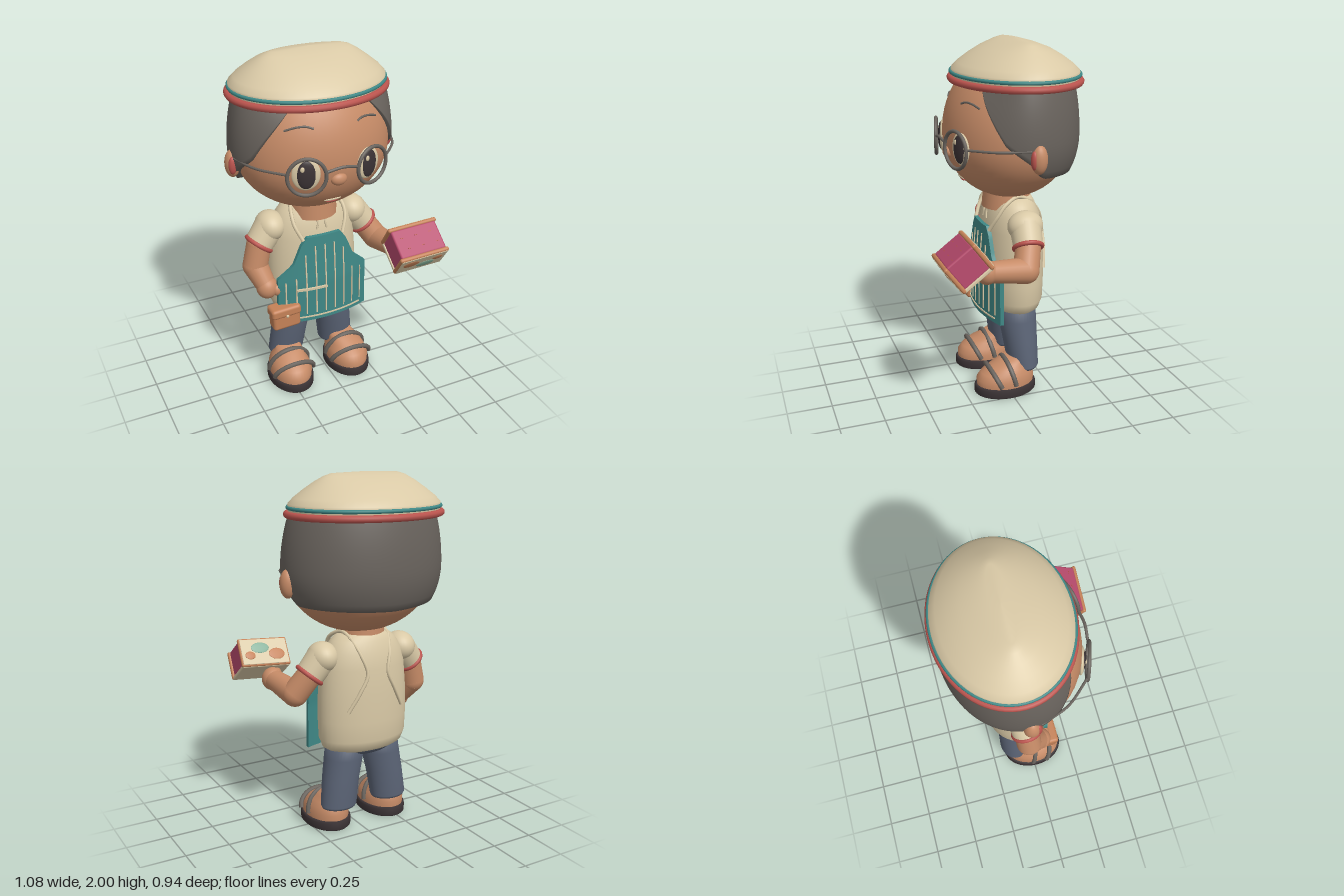
import * as THREE from 'three';
import { RoundedBoxGeometry } from 'three/addons/geometries/RoundedBoxGeometry.js';

const mat = (name, color, side = THREE.FrontSide) =>
  Object.assign(new THREE.MeshStandardMaterial({ color, side }), { name });
const V = (a) => new THREE.Vector3(...a);

// Indexed grid surface; point(i, j) gives row i (upwards), column j (front to left)
function grid(rows, cols, wrap, point) {
  const pos = [], idx = [], n = wrap ? cols : cols + 1;
  for (let i = 0; i <= rows; i++) for (let j = 0; j < n; j++) pos.push(...point(i, j));
  for (let i = 0; i < rows; i++) for (let j = 0; j < cols; j++) {
    const a = i * n + j, b = i * n + (j + 1) % n;
    idx.push(a, b, b + n, a, b + n, a + n);
  }
  const g = new THREE.BufferGeometry();
  g.setAttribute('position', new THREE.Float32BufferAttribute(pos, 3));
  g.setIndex(idx);
  g.computeVertexNormals();
  return g;
}
// Elliptic cross-sections [y, rx, rz, cx, cz]; a repeated section makes a crease
const loft = (rings, seg = 40) => grid(rings.length - 1, seg, true, (i, j) => {
  const [y, rx, rz, cx = 0, cz = 0] = rings[i], a = j / seg * Math.PI * 2;
  return [cx + Math.sin(a) * rx, y, cz + Math.cos(a) * rz];
});
const lerpTable = (table, x) => {
  if (x <= table[0][0]) return table[0][1];
  for (let i = 1; i < table.length; i++) {
    const [x0, y0] = table[i - 1], [x1, y1] = table[i];
    if (x <= x1) return y0 + (y1 - y0) * (x - x0) / (x1 - x0);
  }
  return table[table.length - 1][1];
};
const round = (y, mid, low, up) => Math.sqrt(Math.max(0, 1 - ((y - mid) / (y < mid ? low : up)) ** 2));
const headR = (y) => round(y, 1.48, 0.345, 0.45);
const faceZ = (x, y) => -0.06 + 0.35 * Math.sqrt(Math.max(0, headR(y) ** 2 - (x / 0.43) ** 2));
const apronZ = (x, y) => 0.12 - 0.7 * x * x - 0.08 * Math.max(0, y - 0.7);

export function createModel() {
  const skin = mat('skin', 0xc68b67), gray = mat('hair gray', 0x69635d, THREE.DoubleSide);
  const cream = mat('cream', 0xd9c9a6), teal = mat('teal', 0x3f8886), red = mat('red', 0xbb544e);
  const denim = mat('denim', 0x5b6476), dark = mat('dark', 0x3b3335), pink = mat('pink', 0xb64a6c);
  const tan = mat('tan leather', 0xc48157), mint = mat('mint', 0x88b29b);

  const root = new THREE.Group(), body = new THREE.Group();
  root.name = 'cookFigure';
  body.name = 'body';
  body.position.x = -0.05;
  root.add(body);
  const add = (name, geo, m, p = [0, 0, 0], parent = body) => {
    const mesh = new THREE.Mesh(geo, m);
    mesh.name = name;
    mesh.position.set(...p);
    parent.add(mesh);
    return mesh;
  };
  const ball = (name, m, p, r, parent) => {
    const b = add(name, new THREE.SphereGeometry(1, 28, 20), m, p, parent);
    b.scale.set(...r);
    return b;
  };
  const tube = (name, m, pts, r, parent) => add(name,
    new THREE.TubeGeometry(new THREE.CatmullRomCurve3(pts.map(V)), 28, r, 8), m, [0, 0, 0], parent);
  const limb = (name, m, a, b, ra, rb) => {
    const d = V(b).sub(V(a));
    const c = add(name, new THREE.CylinderGeometry(rb, ra, d.length(), 24), m,
      V(a).addScaledVector(d, 0.5).toArray());
    c.quaternion.setFromUnitVectors(new THREE.Vector3(0, 1, 0), d.normalize());
    ball(name + 'Start', m, a, [ra, ra, ra]);
    ball(name + 'End', m, b, [rb, rb, rb]);
  };

  // Head and neck
  add('head', loft(Array.from({ length: 33 }, (_, i) => {
    const a = i / 32 * Math.PI, y = 1.48 - Math.cos(a) * (a < Math.PI / 2 ? 0.345 : 0.45);
    return [y, 0.43 * headR(y), 0.35 * headR(y), 0, -0.06];
  }), 48), skin);
  add('neck', new THREE.CylinderGeometry(0.13, 0.14, 0.12, 32), skin, [0, 1.13, -0.06]);

  // Hair shell, thinning towards the temples
  const hairline = [[40, 1.765], [53, 1.63], [65, 1.5], [85, 1.4], [97, 1.32], [180, 1.3]];
  add('hair', grid(14, 80, false, (i, j) => {
    const deg = 40 + j / 80 * 280, side = Math.min(deg, 360 - deg);
    const y0 = lerpTable(hairline, side), y = y0 + (1.8 - y0) * Math.max(0, i - 1) / 13;
    const t = THREE.MathUtils.smoothstep(side, 35, 85), h = round(y, 1.5, 0.42, 0.7), k = headR(y);
    const rx = i ? THREE.MathUtils.lerp(0.437 * k, 0.46 * h, t) : 0.42 * k;
    const rz = i ? THREE.MathUtils.lerp(0.357 * k, 0.375 * h, t) : 0.34 * k;
    const a = deg * Math.PI / 180;
    return [Math.sin(a) * rx, y, -0.06 - 0.012 * t + Math.cos(a) * rz];
  }), gray);

  // Flat cap with two bands
  add('cap', loft([[1.772, 0, 0], [1.772, 0.42, 0.33], [1.772, 0.42, 0.33], [1.82, 0.43, 0.342],
    [1.84, 0.428, 0.336], [1.87, 0.4, 0.305], [1.91, 0.35, 0.25], [1.95, 0.295, 0.18],
    [1.98, 0.245, 0.1], [1.993, 0.205, 0.05], [2, 0, 0]]
    .map(([y, x, z]) => [y, x, z, 0, -0.106]), 56), cream);
  for (const [name, m, y, rx, rz, r] of [['capBrim', red, 1.785, 0.433, 0.342, 0.019],
    ['capBand', teal, 1.82, 0.428, 0.341, 0.01]]) {
    const ring = Array.from({ length: 40 }, (_, i) => {
      const a = i / 40 * Math.PI * 2;
      return new THREE.Vector3(Math.sin(a) * rx, y, -0.106 + Math.cos(a) * rz);
    });
    add(name, new THREE.TubeGeometry(new THREE.CatmullRomCurve3(ring, true), 80, r, 10, true), m);
  }

  // Face
  ball('nose', skin, [0, 1.405, 0.277], [0.045, 0.035, 0.03]);
  const mouthZ = faceZ(0, 1.255);
  ball('teeth', cream, [0, 1.257, mouthZ], [0.05, 0.008, 0.008]);
  ball('lip', red, [0, 1.245, mouthZ - 0.008], [0.035, 0.008, 0.01]);
  tube('glassesBridge', gray, [[-0.085, 1.475, 0.317], [0, 1.49, 0.325], [0.085, 1.475, 0.317]], 0.008);

  for (const s of [-1, 1]) {
    const eye = new THREE.Group();
    eye.name = s > 0 ? 'leftEye' : 'rightEye';
    eye.position.set(s * 0.175, 1.455, 0.258);
    eye.rotation.y = s * 0.3;
    body.add(eye);
    ball('eyeWhite', cream, [0, 0, 0], [0.075, 0.088, 0.018], eye);
    ball('pupil', dark, [0, 0, 0.009], [0.05, 0.077, 0.016], eye);
    ball('eyeGlint', cream, [-0.02, 0.035, 0.02], [0.012, 0.015, 0.006], eye);
    add('glassesRim', new THREE.TorusGeometry(0.1, 0.01, 10, 40), gray, [0, 0, 0.035], eye);
    tube('glassesTemple', gray, [[s * 0.28, 1.472, 0.258], [s * 0.395, 1.475, 0.125], [s * 0.455, 1.48, -0.03]], 0.007);
    tube('eyebrow', gray, [[0.12, 1.685], [0.155, 1.696], [0.2, 1.693], [0.257, 1.675]]
      .map(([x, y]) => [s * x, y, faceZ(x, y)]), 0.006);
    ball('ear', skin, [s * 0.45, 1.435, -0.075], [0.042, 0.078, 0.044]);
    ball('innerEar', red, [s * 0.46, 1.435, -0.043], [0.022, 0.05, 0.018]);
  }

  // Shirt
  add('shirt', loft([[0.46, 0, 0], [0.465, 0.21, 0.12], [0.49, 0.245, 0.155], [0.54, 0.265, 0.172],
    [0.65, 0.27, 0.176], [0.8, 0.268, 0.174], [0.95, 0.255, 0.166], [1.04, 0.235, 0.15],
    [1.1, 0.19, 0.125], [1.13, 0.15, 0.11], [1.14, 0.1, 0.09], [1.14, 0, 0]]
    .map(([y, x, z]) => [y, x, z, 0, -0.085])), cream);
  for (const s of [-1, 1]) {
    tube('collar', cream, [[s * 0.05, 1.09, 0.035], [s * 0.022, 1.055, 0.063], [s * 0.03, 1.01, 0.07]], 0.006);
    tube('apronStrapFront', cream, [[s * 0.12, 0.965, 0.085], [s * 0.155, 1.05, 0.045],
      [s * 0.155, 1.11, 0], [s * 0.13, 1.145, -0.08], [s * 0.12, 1.12, -0.16]], 0.011);
    tube('apronStrapBack', cream, [[s * 0.12, 1.12, -0.16], [s * 0.09, 1.03, -0.225],
      [s * 0.065, 0.93, -0.252], [s * 0.11, 0.83, -0.248], [s * 0.17, 0.72, -0.224]], 0.01);
  }

  // Apron panel, bent around the belly, with stripes, hem and pocket edge
  const halfWidth = [[0.45, 0.275], [0.74, 0.272], [0.76, 0.25], [0.82, 0.185], [0.94, 0.135], [0.985, 0.1]];
  const bent = (name, m, x, y, w, h, depth, lift, shape) => {
    const g = new THREE.BoxGeometry(w, h, depth, 16, 24, 1).translate(x, y, lift), p = g.attributes.position;
    for (let i = 0; i < p.count; i++) {
      const px = p.getX(i) * (shape ? lerpTable(halfWidth, p.getY(i)) : 1);
      p.setX(i, px).setZ(i, p.getZ(i) + apronZ(px, p.getY(i)));
    }
    g.computeVertexNormals();
    return add(name, g, m);
  };
  bent('apron', teal, 0, 0.7175, 2, 0.535, 0.022, -0.005, true);
  for (let i = -4; i <= 4; i++) {
    const top = [0.93, 0.93, 0.88, 0.74, 0.72][Math.abs(i)];
    bent('apronStripe', cream, i * 0.058, (top + 0.5) / 2, 0.007, top - 0.5, 0.008, 0.007);
  }
  bent('apronHem', cream, 0, 0.478, 0.46, 0.008, 0.008, 0.007);
  bent('apronPocketEdge', cream, -0.085, 0.667, 0.18, 0.013, 0.014, 0.01);

  // Belt pouch
  const pouch = new THREE.Group();
  pouch.name = 'pouch';
  pouch.position.set(-0.243, 0.508, 0.085);
  pouch.rotation.z = 0.05;
  body.add(pouch);
  add('pouchBag', new RoundedBoxGeometry(0.165, 0.135, 0.085, 3, 0.018), tan, [0, 0, 0], pouch);
  add('pouchFlap', new RoundedBoxGeometry(0.178, 0.06, 0.098, 3, 0.018), tan, [0, 0.042, 0], pouch);
  ball('pouchButton', cream, [0, 0.022, 0.05], [0.009, 0.009, 0.006], pouch);

  // Arms: the left one reaches forward, the right one hangs
  for (const [side, s, elbow, hand, thumb] of [
    ['left', 1, [0.395, 0.815, -0.03], [0.42, 0.845, 0.2], [0.375, 0.86, 0.235]],
    ['right', -1, [-0.355, 0.79, -0.06], [-0.318, 0.68, 0.02], [-0.275, 0.67, 0.055]]]) {
    const shoulder = [s * 0.25, 1.015, -0.08], cuff = [s * 0.325, 0.92, -0.068];
    limb(side + 'UpperArm', skin, cuff, elbow, 0.07, 0.072);
    limb(side + 'Forearm', skin, elbow, hand, 0.072, 0.056);
    ball(side + 'Hand', skin, hand, [0.062, 0.066, 0.06]);
    ball(side + 'Thumb', skin, thumb, [0.026, 0.034, 0.026]);
    const d = V(cuff).sub(V(shoulder));
    const up = new THREE.Quaternion().setFromUnitVectors(new THREE.Vector3(0, 1, 0), d.clone().normalize());
    ball(side + 'Shoulder', cream, shoulder, [0.086, 0.086, 0.1]);
    add(side + 'Sleeve', new THREE.CylinderGeometry(0.08, 0.088, d.length(), 28), cream,
      V(shoulder).addScaledVector(d, 0.5).toArray()).quaternion.copy(up);
    add(side + 'Cuff', new THREE.TorusGeometry(0.076, 0.013, 10, 32).rotateX(Math.PI / 2), red, cuff)
      .quaternion.copy(up);
  }

  // Trousers, feet and sandals
  ball('trouserSeat', denim, [0, 0.51, -0.085], [0.225, 0.09, 0.145]);
  for (const s of [-1, 1]) {
    add('trouserLeg', loft([[0.13, 0, 0, s * 0.165, -0.105], [0.13, 0.1, 0.08, s * 0.165, -0.105],
      [0.145, 0.107, 0.088, s * 0.165, -0.105], [0.3, 0.108, 0.1, s * 0.145, -0.093],
      [0.42, 0.112, 0.11, s * 0.122, -0.085], [0.52, 0.11, 0.11, s * 0.11, -0.082],
      [0.56, 0, 0, s * 0.11, -0.082]]), denim);
    const foot = new THREE.Group();
    foot.name = s > 0 ? 'leftFoot' : 'rightFoot';
    foot.position.set(s * 0.187, 0, 0.013);
    body.add(foot);
    add('sole', loft([[0, 0, 0], [0, 0.124, 0.174], [0.008, 0.131, 0.182], [0.045, 0.131, 0.182],
      [0.056, 0.124, 0.174], [0.056, 0, 0]]), dark, [0, 0, 0], foot);
    add('foot', loft([[0.05, 0.12, 0.168], [0.09, 0.122, 0.17], [0.125, 0.11, 0.152, 0, -0.008],
      [0.155, 0.094, 0.12, 0, -0.022], [0.18, 0.08, 0.09, -s * 0.01, -0.045],
      [0.21, 0.068, 0.065, -s * 0.015, -0.07], [0.215, 0, 0, -s * 0.015, -0.07]]), skin, [0, 0, 0], foot);
    for (const [z, lean, h] of [[0.062, 0.04, 0.085], [-0.025, 0.03, 0.125]]) {
      const pts = Array.from({ length: 13 }, (_, i) => {
        const a = i / 12 * Math.PI;
        return [Math.cos(a) * 0.126, 0.075 + Math.sin(a) * h, z + Math.sin(a) * lean];
      });
      tube('sandalStrap', gray, pts, 0.014, foot);
    }
  }

  // Boxed cake held in the left hand, tipped forward
  const box = new THREE.Group();
  box.name = 'cakeBox';
  box.position.set(0.44, 0.933, 0.34);
  box.rotation.set(0.64, 0, 0.08);
  body.add(box);
  add('cakeBlock', new RoundedBoxGeometry(0.272, 0.155, 0.17, 2, 0.01), pink, [0, 0.004, 0], box);
  add('boxBase', new RoundedBoxGeometry(0.285, 0.02, 0.19, 2, 0.006), cream, [0, -0.078, 0], box);
  for (let i = 0; i < 6; i++)
    add('cakeMark', new THREE.BoxGeometry(0.018, 0.003, 0.004), red,
      [-0.09 + (i % 3) * 0.085 + (i > 2 ? 0.02 : 0), 0.082, i > 2 ? 0.035 : -0.03], box);
  for (const s of [-1, 1]) {
    add('boxCover', new RoundedBoxGeometry(0.295, 0.17, 0.024, 3, 0.011), tan, [0, 0, s * 0.092], box);
    add('coverPanel', new RoundedBoxGeometry(0.278, 0.152, 0.008, 2, 0.003), cream, [0, 0, s * 0.103], box);
    for (const [m, x, y, rx, ry] of [[tan, -0.07, s * 0.018, 0.048, 0.034],
      [mint, 0.025, -s * 0.022, 0.054, 0.032], [tan, 0.09, s * 0.022, 0.03, 0.024]])
      ball('coverSpot', m, [x, y, s * 0.107], [rx, ry, 0.004], box);
  }
  return root;
}
